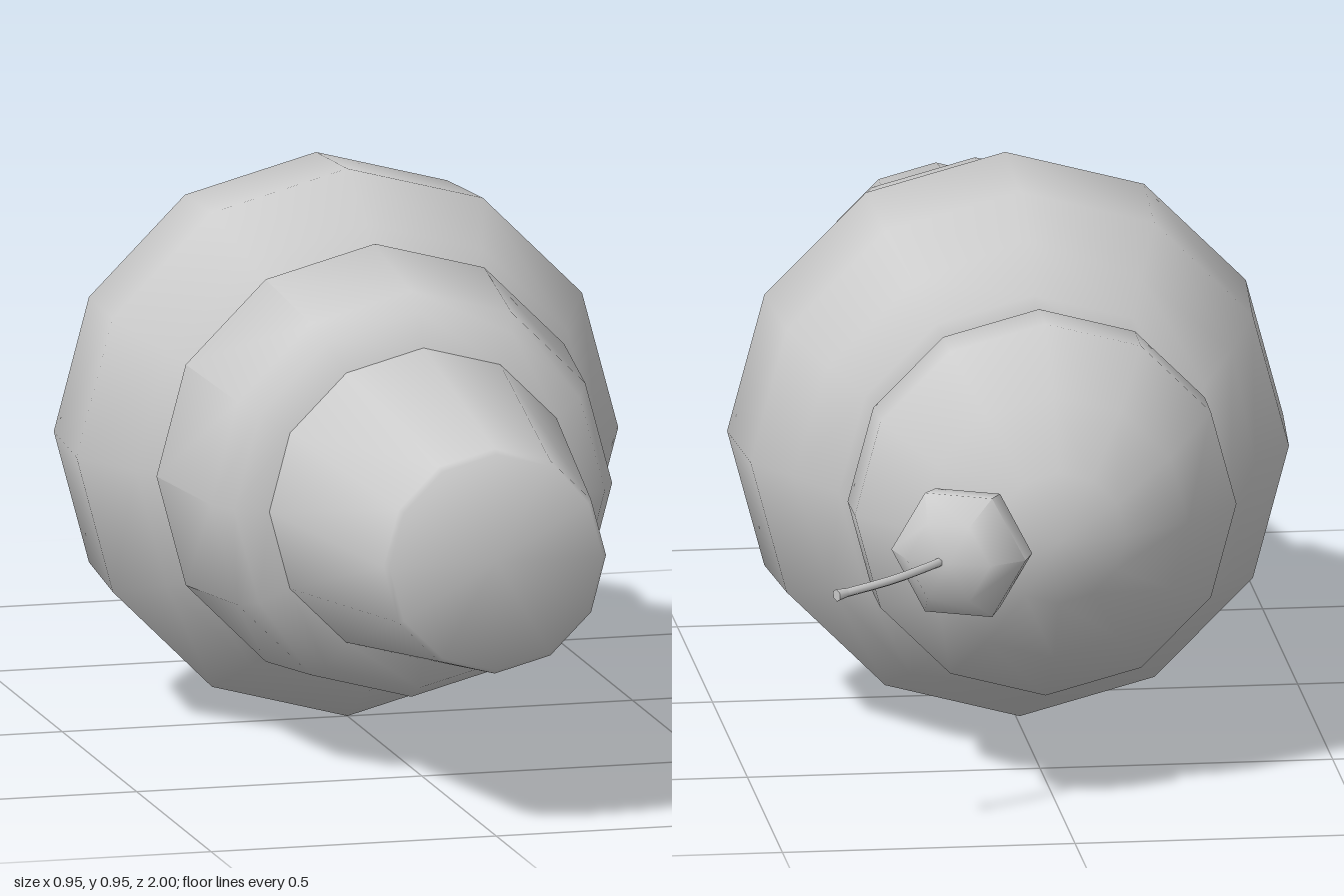
import * as THREE from 'three';
import { mergeVertices, toCreasedNormals } from 'three/addons/utils/BufferGeometryUtils.js';

const AXIS_Y = 0.48;
const material = new THREE.MeshStandardMaterial({ color: 0xcccccc });

// Turned solid lying along z; profile is [radius, z] running from front to back
function turned(name, profile, sides, reshape) {
  const points = profile.map(([r, z]) => new THREE.Vector2(r, -z));
  let geometry = new THREE.LatheGeometry(points, sides, sides === 6 ? Math.PI / 6 : 0);
  geometry.rotateX(-Math.PI / 2);
  if (reshape) reshape(geometry.attributes.position);
  geometry.deleteAttribute('uv');
  geometry.deleteAttribute('normal');
  geometry = toCreasedNormals(mergeVertices(geometry, 1e-4), 0.95);
  const mesh = new THREE.Mesh(geometry, material);
  mesh.name = name;
  mesh.position.y = AXIS_Y;
  return mesh;
}

// Uneven dents in one ring of the large scoop
function dentRing(position) {
  for (let i = 0; i < position.count; i++) {
    const z = position.getZ(i);
    if (Math.abs(z + 0.32) > 0.02) continue;
    const x = position.getX(i), y = position.getY(i);
    const angle = Math.atan2(y, x);
    const s = 1 + 0.02 * Math.sin(angle * 5 + 0.6) - 0.008;
    position.setXYZ(i, x * s, y * s, z + 0.012 * Math.cos(angle * 4));
  }
}

export function createModel() {
  const group = new THREE.Group();
  group.name = 'iceCreamCone';

  // Flat-bottomed wafer cup with a flared collar and open lip
  group.add(turned('waferCup', [
    [0, 1], [0.187, 1], [0.195, 0.99], [0.27, 0.51], [0.325, 0.485],
    [0.352, 0.43], [0.383, 0.185], [0.376, 0.178], [0.34, 0.18], [0.3, 0.21], [0, 0.21],
  ], 12));

  // Large scoop
  group.add(turned('largeScoop', [
    [0, 0.2], [0.345, 0.19], [0.365, 0.165], [0.405, 0.13], [0.475, 0], [0.46, -0.21],
    [0.398, -0.32], [0.335, -0.425], [0.29, -0.44], [0, -0.44],
  ], 12, dentRing));

  // Small scoop
  group.add(turned('smallScoop', [
    [0, -0.43], [0.28, -0.438], [0.315, -0.465], [0.327, -0.485], [0.326, -0.58],
    [0.23, -0.695], [0.115, -0.77], [0, -0.792],
  ], 12));

  // Cherry, tilted to one side
  const cherry = turned('cherry', [
    [0, 0.085], [0.065, 0.075], [0.115, 0.03], [0.12, -0.02], [0.075, -0.075], [0, -0.08],
  ], 6);
  cherry.position.set(0.167, 0.465, -0.785);
  cherry.rotation.y = -0.44;
  group.add(cherry);

  // Curved cherry stem with a small knob at its end
  const path = new THREE.CatmullRomCurve3([
    new THREE.Vector3(0.19, 0.466, -0.82),
    new THREE.Vector3(0.235, 0.464, -0.87),
    new THREE.Vector3(0.305, 0.459, -0.932),
    new THREE.Vector3(0.397, 0.452, -0.987),
  ]);
  const stem = new THREE.Mesh(new THREE.TubeGeometry(path, 8, 0.008, 6), material);
  stem.name = 'cherryStem';
  const knob = new THREE.Mesh(new THREE.CylinderGeometry(0.011, 0.008, 0.022, 6), material);
  knob.name = 'stemEnd';
  knob.position.copy(path.getPoint(1));
  knob.quaternion.setFromUnitVectors(new THREE.Vector3(0, 1, 0), path.getTangent(1));
  group.add(stem, knob);

  return group;
}
